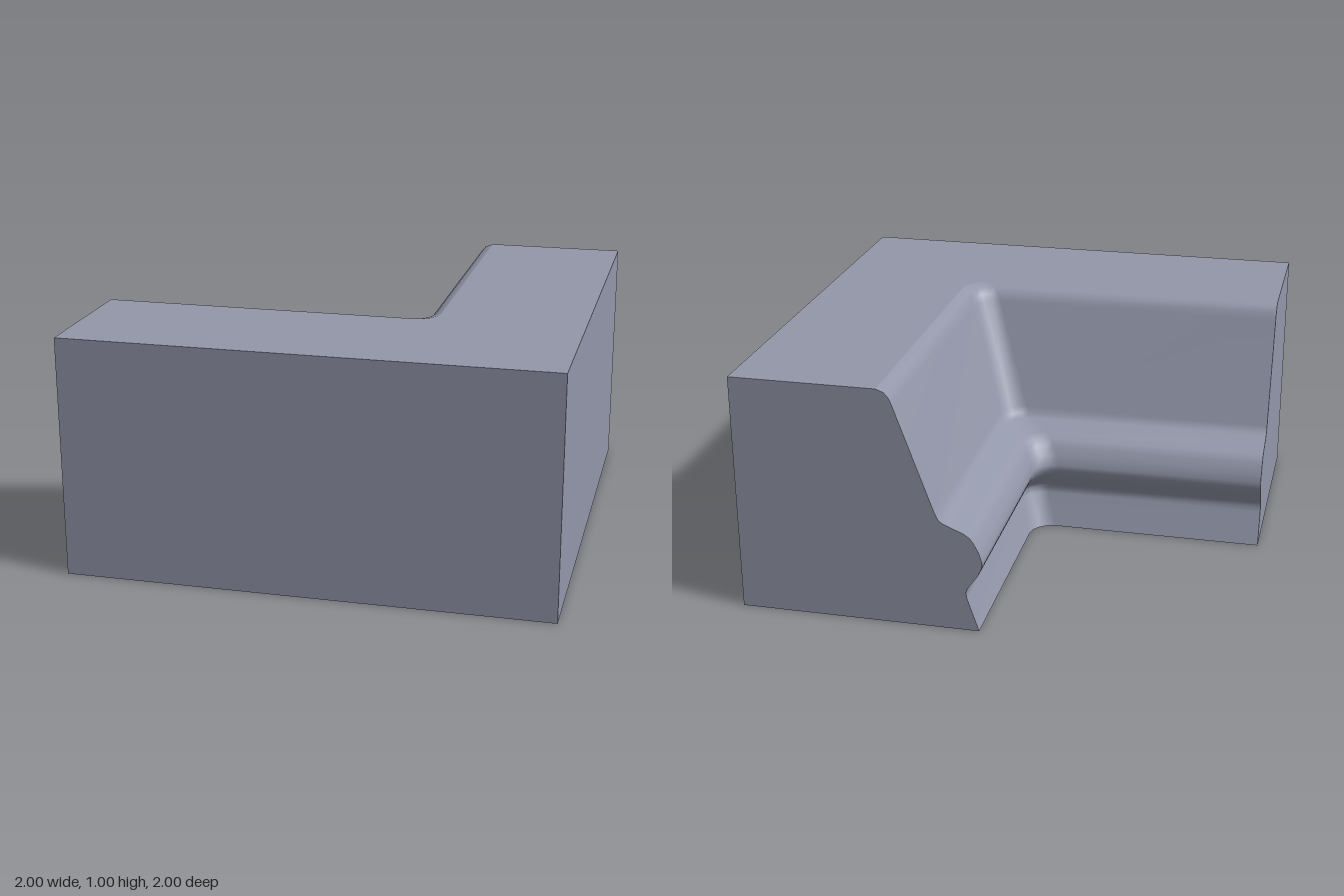
import * as THREE from 'three';

// Moulding profile: [inset of the inner face, height], bottom to top
const PROFILE = [
  [0.005, 0], [0.053, 0.14], [0.058, 0.165], [0.05, 0.185], [0.007, 0.245],
  [-0.008, 0.28], [-0.01, 0.305], [0.002, 0.345], [0.023, 0.385], [0.04, 0.408],
  [0.065, 0.424], [0.145, 0.457], [0.165, 0.472], [0.178, 0.5],
  [0.336, 0.935], [0.348, 0.965], [0.368, 0.988], [0.4, 1],
];
const RADIUS = 0.1;
const ARC_STEPS = 4;

// Inner L-shaped path at a given inset, with a rounded corner: [x, z] points
function innerPath(d) {
  const path = [[-1, d]];
  for (let i = 0; i <= ARC_STEPS; i++) {
    const a = (Math.PI / 2) * (1 - i / ARC_STEPS);
    path.push([d - RADIUS + RADIUS * Math.cos(a), d - RADIUS + RADIUS * Math.sin(a)]);
  }
  path.push([d, -1]);
  return path;
}

// Moulded inner face: the profile swept along the path
function mouldingGeometry() {
  const positions = [], index = [];
  const n = ARC_STEPS + 3;
  PROFILE.forEach(([d, y], row) => {
    innerPath(d).forEach(([x, z], col) => {
      positions.push(x, y, z);
      if (row === PROFILE.length - 1 || col === n - 1) return;
      const a = row * n + col, up = a + n;
      index.push(a, up, a + 1, a + 1, up, up + 1);
    });
  });
  const g = new THREE.BufferGeometry();
  g.setAttribute('position', new THREE.Float32BufferAttribute(positions, 3));
  g.setIndex(index);
  g.computeVertexNormals();
  return g;
}

function flatShape(points) {
  return new THREE.ShapeGeometry(new THREE.Shape(points.map(([x, y]) => new THREE.Vector2(x, y))));
}

export function createModel() {
  const group = new THREE.Group();
  const material = new THREE.MeshStandardMaterial({ color: 0x9397aa });
  const add = (name, geometry) => {
    const mesh = new THREE.Mesh(geometry, material);
    mesh.name = name;
    group.add(mesh);
  };

  add('innerMoulding', mouldingGeometry());

  // L-shaped top and bottom
  const plan = (d) => [...innerPath(d), [1, -1], [1, 1], [-1, 1]];
  const topPlan = plan(PROFILE[PROFILE.length - 1][0]).map(([x, z]) => [x, -z]);
  add('topFace', flatShape(topPlan).rotateX(-Math.PI / 2).translate(0, 1, 0));
  add('bottomFace', flatShape(plan(PROFILE[0][0])).rotateX(Math.PI / 2));

  // Cut ends showing the profile
  const section = [...PROFILE, [1, 1], [1, 0]];
  add('sideEnd', flatShape(section).rotateY(-Math.PI / 2).translate(-1, 0, 0));
  add('backEnd', flatShape(section.map(([d, y]) => [-d, y])).rotateY(Math.PI).translate(0, 0, -1));

  // Plain outer walls
  add('frontWall', new THREE.PlaneGeometry(2, 1).translate(0, 0.5, 1));
  add('sideWall', new THREE.PlaneGeometry(2, 1).rotateY(Math.PI / 2).translate(1, 0.5, 0));

  return group;
}
